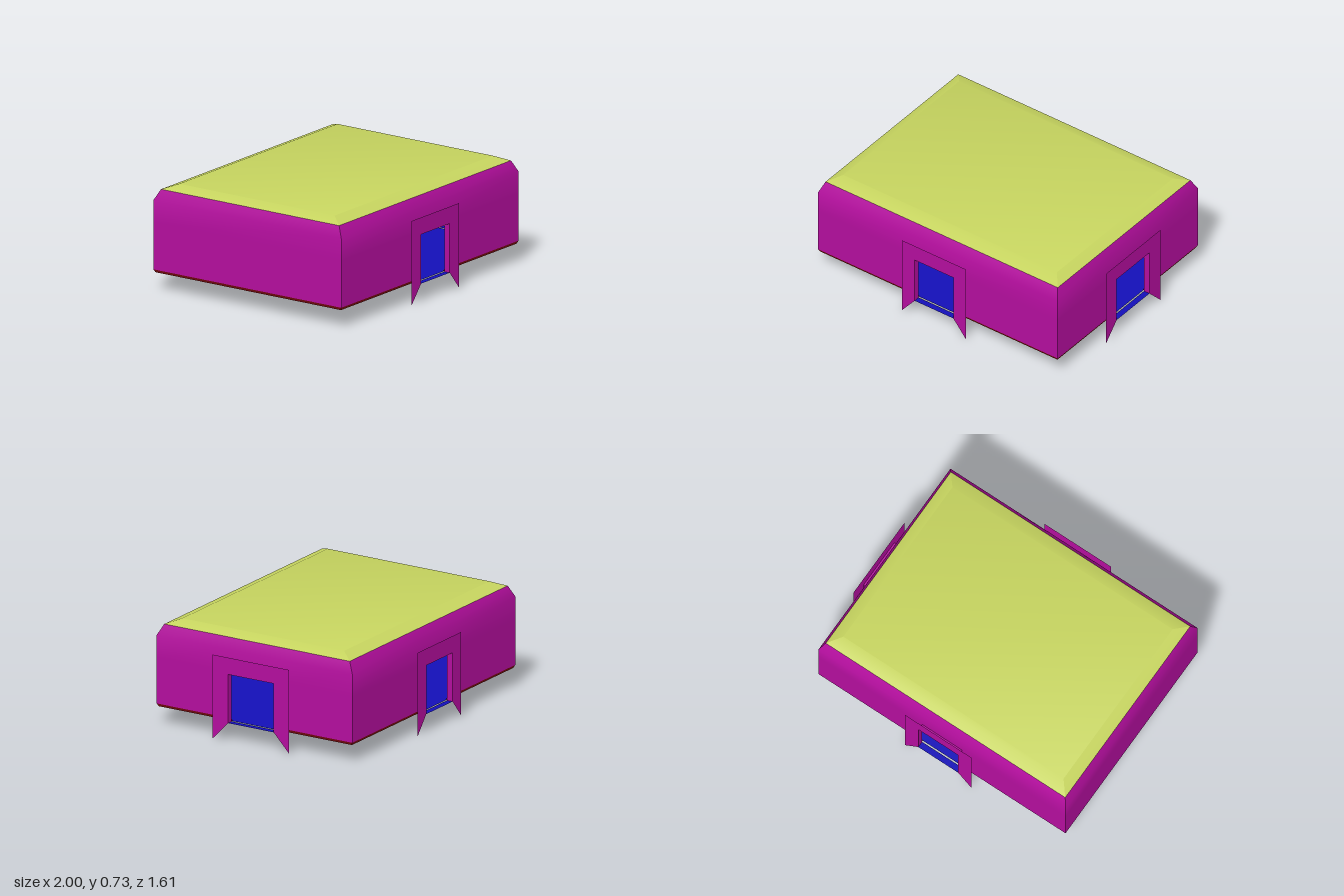
import * as THREE from 'three';
import { toCreasedNormals } from 'three/addons/utils/BufferGeometryUtils.js';

const HALF_X = 0.9785, HALF_Z = 0.762;
const FLOOR_Y = 0.125, DOOR_TOP = 0.46, PORCH = 0.0435;

const paint = (color) => new THREE.MeshStandardMaterial({ color, side: THREE.DoubleSide });

// Mesh from quads whose corners run counter-clockwise seen from outside
function quadMesh(name, quads, material) {
  const pos = [];
  for (const [a, b, c, d] of quads) pos.push(...a, ...b, ...c, ...a, ...c, ...d);
  const geo = new THREE.BufferGeometry();
  geo.setAttribute('position', new THREE.Float32BufferAttribute(pos, 3));
  const mesh = new THREE.Mesh(toCreasedNormals(geo, 0.55), material);
  mesh.name = name;
  return mesh;
}

export function createModel() {
  const wallMat = paint(0xb40e9e), roofMat = paint(0xc6d45f);
  const floorMat = paint(0x1410b8), trimMat = paint(0x8a0c12);

  const model = new THREE.Group();
  model.name = 'building';
  const body = new THREE.Group();
  body.name = 'body';
  body.position.set(-0.0215, 0, 0.004);
  model.add(body);

  // Wall rings from bottom to top: height, inset in x, inset in z
  const rings = [
    [FLOOR_Y, 0.01, 0.01], [0.145, 0, 0], [DOOR_TOP, 0, 0], [0.615, 0, 0], [0.69, 0.03, 0.04],
  ];

  // One side, built facing +z and then turned; door = [opening half width, frame half width]
  function addSide(name, turn, door) {
    const side = new THREE.Group();
    side.name = name;
    side.rotation.y = turn * Math.PI / 2;
    const alongX = turn % 2 === 0;
    const halfW = alongX ? HALF_X : HALF_Z, dist = alongX ? HALF_Z : HALF_X;
    const rows = rings.map(([y, ix, iz]) => {
      const w = halfW - (alongX ? ix : iz), d = dist - (alongX ? iz : ix);
      const us = door ? [-w, -door[0], door[0], w] : [-w, w];
      return us.map((u) => [u, y, d]);
    });
    const wall = [], trim = [];
    for (let r = 0; r < rows.length - 1; r++) {
      for (let c = 0; c < rows[r].length - 1; c++) {
        if (door && c === 1 && r < 2) continue; // doorway
        (r === 0 ? trim : wall).push([rows[r][c], rows[r][c + 1], rows[r + 1][c + 1], rows[r + 1][c]]);
      }
    }
    side.add(quadMesh('wall', wall, wallMat), quadMesh('baseTrim', trim, trimMat));

    if (door) {
      const [o, f] = door, zi = dist, zo = dist + PORCH;
      // Flat door surround with pointed feet
      const outline = [[-f, 0], [-o, FLOOR_Y], [-o, DOOR_TOP], [o, DOOR_TOP],
        [o, FLOOR_Y], [f, 0], [f, 0.575], [-f, 0.575]];
      const frame = new THREE.Mesh(
        new THREE.ShapeGeometry(new THREE.Shape(outline.map(([x, y]) => new THREE.Vector2(x, y)))), wallMat);
      frame.name = 'doorFrame';
      frame.position.z = zo;
      // Short passage linking the surround to the wall
      const link = (x0, y0, x1, y1) => [[x0, y0, zo], [x1, y1, zo], [x1, y1, zi], [x0, y0, zi]];
      side.add(frame,
        quadMesh('doorReveal', [
          link(-o, DOOR_TOP, -o, FLOOR_Y), link(o, DOOR_TOP, -o, DOOR_TOP), link(o, FLOOR_Y, o, DOOR_TOP),
        ], wallMat),
        quadMesh('doorSill', [link(-o, FLOOR_Y, o, FLOOR_Y)], floorMat));
    }
    body.add(side);
  }

  addSide('frontSide', 0, [0.158, 0.262]);
  addSide('leftSide', 1, [0.178, 0.297]);
  addSide('backSide', 2, [0.158, 0.262]);
  addSide('rightSide', 3, null);

  // Corners of a level rectangle, counter-clockwise from above
  const rect = (y, ix, iz) => [[-1, 1], [1, 1], [1, -1], [-1, -1]]
    .map(([sx, sz]) => [sx * (HALF_X - ix), y, sz * (HALF_Z - iz)]);

  // Roof: four shallow slopes and a flat top
  const eave = rect(0.69, 0.03, 0.04), crown = rect(0.725, 0.106, 0.132);
  const roof = [crown];
  for (let i = 0; i < 4; i++) {
    const j = (i + 1) % 4;
    roof.push([eave[i], eave[j], crown[j], crown[i]]);
  }
  body.add(quadMesh('roof', roof, roofMat));

  // Floor
  body.add(quadMesh('floor', [rect(FLOOR_Y, 0.01, 0.01)], floorMat));

  return model;
}
